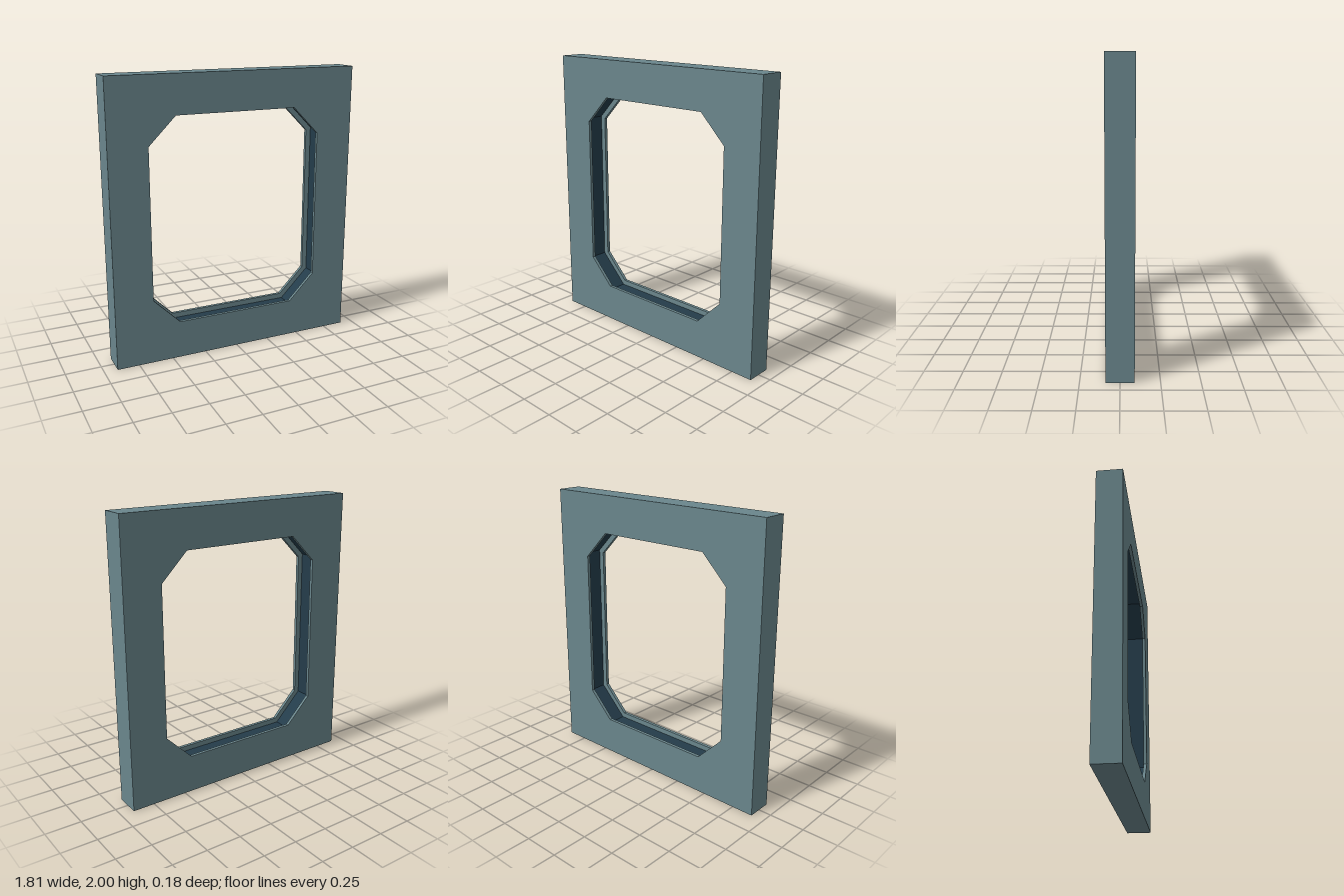
import * as THREE from 'three';

// Centred rectangle with corners cut at 45 degrees, counter-clockwise from +z
function octagon(halfW, halfH, cut) {
  const x = halfW - cut, y = halfH - cut;
  return [
    [-x, -halfH], [x, -halfH], [halfW, -y], [halfW, y],
    [x, halfH], [-x, halfH], [-halfW, y], [-halfW, -y],
  ].map(([px, py]) => new THREE.Vector2(px, py));
}

// Flat-faced band joining successive loops, each { pts, z }
function band(loops) {
  const pos = [];
  for (let k = 0; k + 1 < loops.length; k++) {
    const a = loops[k], b = loops[k + 1], n = a.pts.length;
    for (let i = 0; i < n; i++) {
      const j = (i + 1) % n;
      const quad = [[a, i], [a, j], [b, j], [a, i], [b, j], [b, i]];
      for (const [loop, c] of quad) pos.push(loop.pts[c].x, loop.pts[c].y, loop.z);
    }
  }
  const geo = new THREE.BufferGeometry();
  geo.setAttribute('position', new THREE.Float32BufferAttribute(pos, 3));
  geo.computeVertexNormals();
  return geo;
}

export function createModel() {
  const group = new THREE.Group();
  const frameMat = new THREE.MeshStandardMaterial({ color: 0x6a868c });
  const grooveMat = new THREE.MeshStandardMaterial({ color: 0x243c4a });

  const W = 0.907, H = 1, D = 0.09;     // outer half sizes
  const lipZ = 0.067, depth = 0.037;    // groove half width and depth
  const hw = 0.632, hh = 0.729, cut = 0.192;

  const outer = [[-W, -H], [W, -H], [W, H], [-W, H]].map(([x, y]) => new THREE.Vector2(x, y));
  const opening = octagon(hw, hh, cut);
  const floor = octagon(hw + depth, hh + depth, cut + depth * (2 - Math.SQRT2));

  const add = (name, geo, mat) => {
    const mesh = new THREE.Mesh(geo, mat);
    mesh.name = name;
    mesh.position.y = H;
    group.add(mesh);
  };

  // Front and back faces with the cut-corner opening
  const face = new THREE.Shape(outer);
  face.holes.push(new THREE.Path(opening));
  add('frontFace', new THREE.ShapeGeometry(face).translate(0, 0, D), frameMat);
  add('backFace', new THREE.ShapeGeometry(face).rotateY(Math.PI).translate(0, 0, -D), frameMat);

  // Outside edges
  add('outerEdges', band([{ pts: outer, z: -D }, { pts: outer, z: D }]), frameMat);

  // Lips on either side of the groove, each with its edge and groove wall
  add('frontLip', band([
    { pts: opening, z: D }, { pts: opening, z: lipZ }, { pts: floor, z: lipZ },
  ]), frameMat);
  add('backLip', band([
    { pts: floor, z: -lipZ }, { pts: opening, z: -lipZ }, { pts: opening, z: -D },
  ]), frameMat);

  // Dark strip lining the bottom of the groove
  add('grooveLining', band([{ pts: floor, z: lipZ }, { pts: floor, z: -lipZ }]), grooveMat);

  return group;
}
